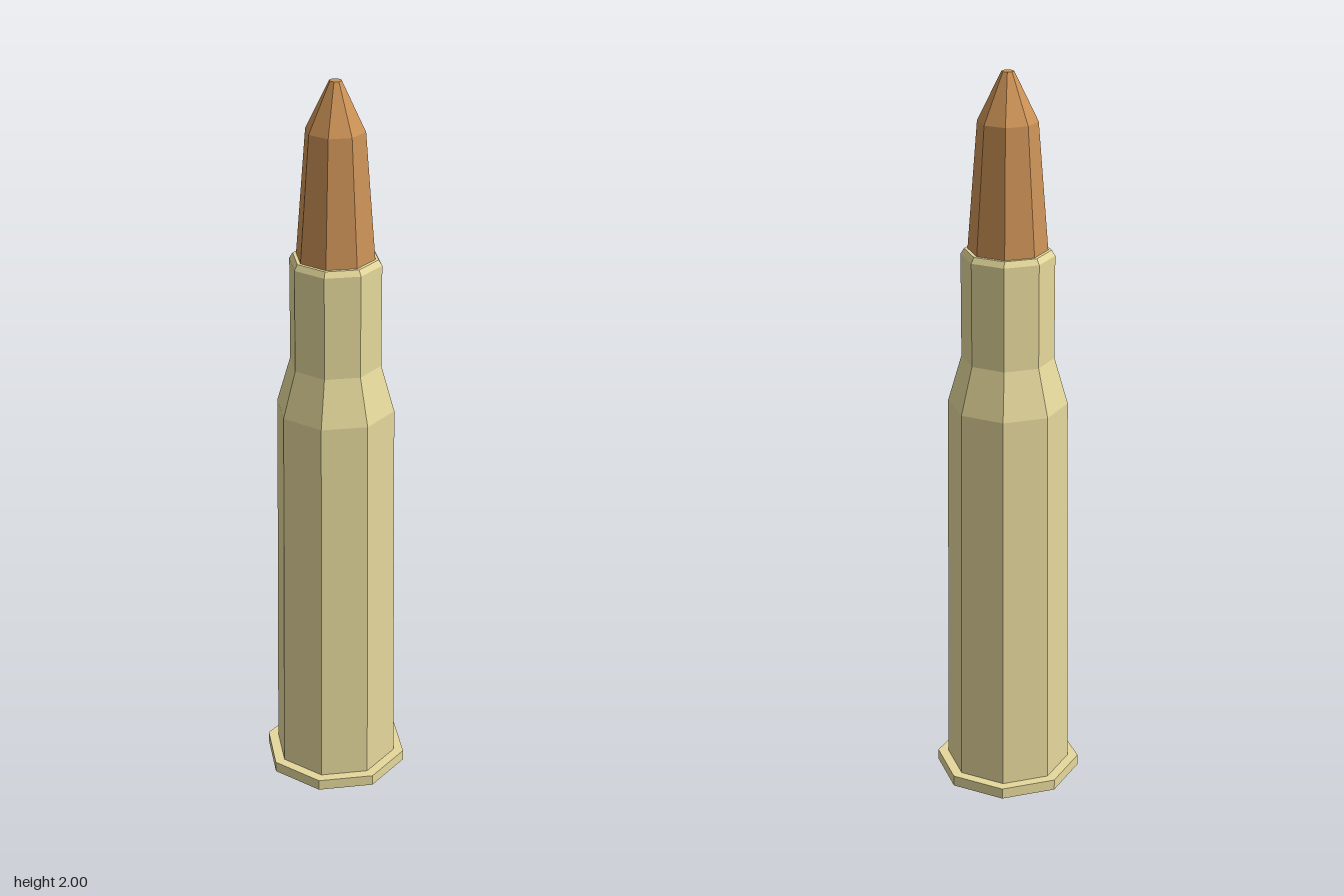
import * as THREE from 'three';

const SIDES = 8;

// Eight-sided turned part from [radius, height] pairs, listed bottom to top
function turned(name, color, profile) {
  const points = profile.map(([r, y]) => new THREE.Vector2(r, y));
  const material = new THREE.MeshStandardMaterial({ color, flatShading: true });
  const mesh = new THREE.Mesh(new THREE.LatheGeometry(points, SIDES), material);
  mesh.name = name;
  return mesh;
}

export function createModel() {
  const group = new THREE.Group();
  group.name = 'cartridge';

  // Brass case: bevelled base, rim, tapered body, shoulder, neck and lip
  group.add(turned('case', 0xe6d99c, [
    [0, 0.01], [0.11, 0.01],
    [0.196, 0.045], [0.196, 0.075],
    [0.168, 0.075], [0.157, 1.13],
    [0.121, 1.255], [0.121, 1.53],
    [0.112, 1.545], [0.1, 1.545],
  ]));

  // Copper bullet with a blunt tip, seated in the neck
  group.add(turned('bullet', 0xcd9357, [
    [0.104, 1.5], [0.103, 1.545], [0.077, 1.875], [0.016, 2], [0, 2],
  ]));

  // Primer in the base
  group.add(turned('primer', 0x8f865f, [
    [0, 0], [0.04, 0], [0.04, 0.012],
  ]));

  return group;
}
